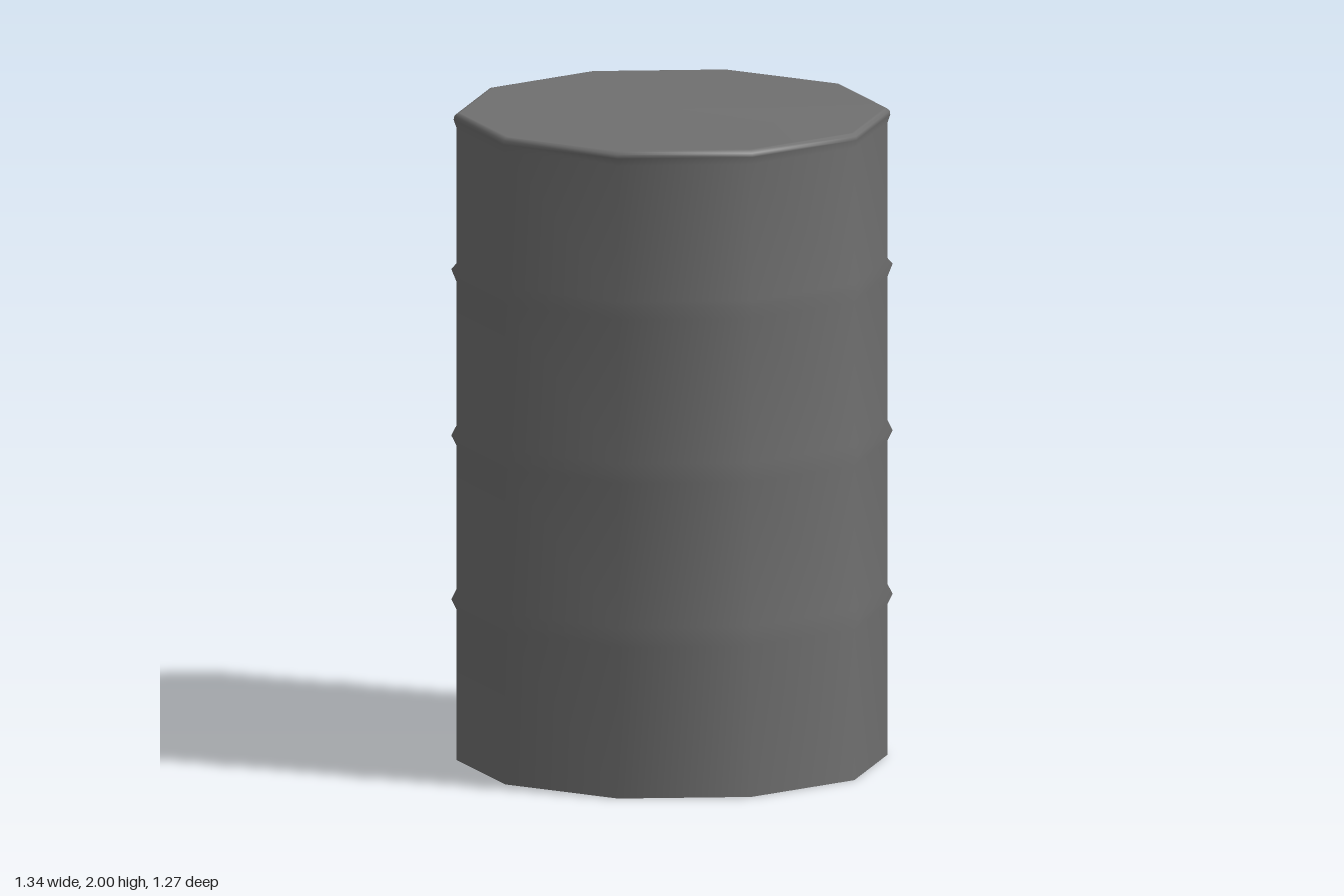
import * as THREE from 'three';

const SIDES = 10;
const BODY_R = 0.653;
const RIB_R = 0.668;

export function createModel() {
  const group = new THREE.Group();
  group.name = 'barrel';
  const material = new THREE.MeshStandardMaterial({ color: 0x707070, side: THREE.DoubleSide });

  // Profile from the open bottom edge up the wall, with three thin ribs
  const profile = [[BODY_R, 0]];
  for (const [low, peak, high] of [[0.465, 0.495, 0.525], [0.97, 1.0, 1.03], [1.475, 1.513, 1.53]]) {
    profile.push([BODY_R, low], [RIB_R, peak], [BODY_R, high]);
  }
  // Rounded rim running into a very slightly domed lid
  profile.push([BODY_R, 1.95], [0.661, 1.973], [0.659, 1.985], [0.65, 1.993], [0.642, 1.994], [0, 2]);

  // Ten-sided shell with smooth sides, open underneath
  const points = profile.map(([r, y]) => new THREE.Vector2(r, y));
  const shell = new THREE.Mesh(new THREE.LatheGeometry(points, SIDES, Math.PI / 2), material);
  shell.name = 'barrelShell';
  group.add(shell);

  return group;
}
